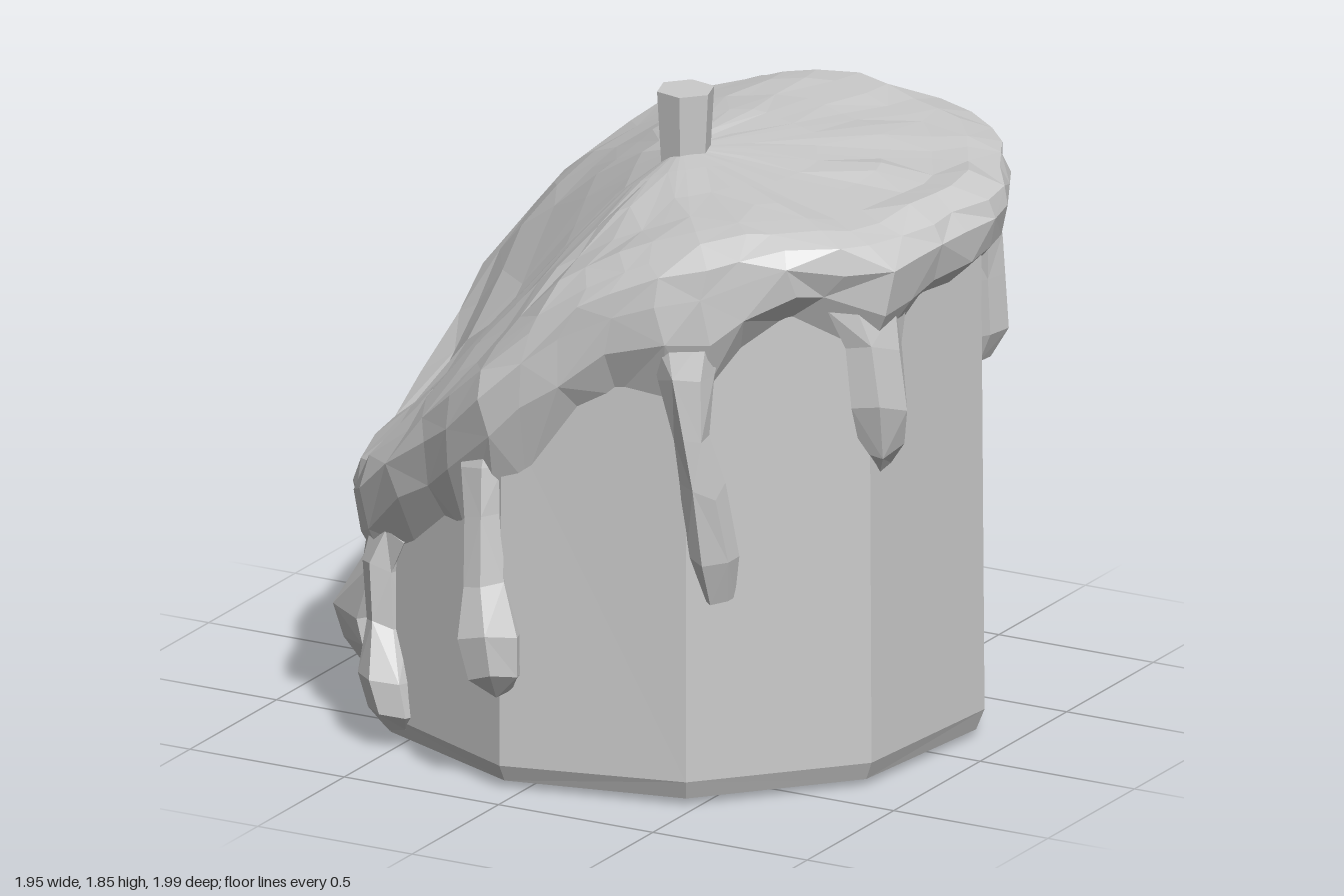
import * as THREE from 'three';

const rad = THREE.MathUtils.degToRad;
const mat = new THREE.MeshStandardMaterial({ color: 0xcccccc, flatShading: true, side: THREE.DoubleSide });

// Angles run from +x (0) through +z (90).
const CX = 0.03, CZ = -0.008;
const polar = (deg, r, y) => new THREE.Vector3(CX + r * Math.cos(rad(deg)), y, CZ + r * Math.sin(rad(deg)));

// Repeatable noise in -1..1
function noise(a, b) {
  const s = Math.sin(a * 12.99 + b * 78.23) * 43758.55;
  return (s - Math.floor(s)) * 2 - 1;
}

// Smooth bump around an angle
function bump(deg, centre, width) {
  const d = ((((deg - centre + 180) % 360) + 360) % 360) - 180;
  return Math.exp(-((d / width) ** 2));
}

// Radius of the ten-sided wall at an angle
const CORNER = 96;
function wall(deg) {
  const local = ((((deg - CORNER) % 36) + 36) % 36) - 18;
  return 0.85 / Math.cos(rad(local));
}

// Height of the melted rim around the candle
const RIM = [
  [0, 1.65], [45, 1.67], [62, 1.64], [78, 1.53], [90, 1.41], [103, 1.22], [115, 1.08], [130, 0.9],
  [150, 0.75], [165, 0.7], [180, 0.76], [193, 0.93], [206, 1.17], [220, 1.35], [235, 1.49],
  [250, 1.6], [270, 1.65], [315, 1.66], [360, 1.65],
];
function rim(deg) {
  const d = ((deg % 360) + 360) % 360;
  const i = RIM.findIndex((p) => p[0] > d);
  const [a, ya] = RIM[i - 1], [b, yb] = RIM[i];
  return ya + ((yb - ya) * (d - a)) / (b - a);
}

// Skin a list of closed rings, ordered from the top middle outwards and down
function loft(name, rings) {
  const n = rings[0].length, pos = [], index = [];
  rings.forEach((ring) => ring.forEach((p) => pos.push(p.x, p.y, p.z)));
  for (let i = 0; i < rings.length - 1; i++) {
    for (let j = 0; j < n; j++) {
      const a = i * n + j, b = i * n + ((j + 1) % n), c = a + n, d = b + n;
      if ((i + j) % 2) index.push(a, b, c, b, d, c);
      else index.push(a, b, d, a, d, c);
    }
  }
  const g = new THREE.BufferGeometry();
  g.setAttribute('position', new THREE.Float32BufferAttribute(pos, 3));
  g.setIndex(index);
  const flat = g.toNonIndexed();
  flat.computeVertexNormals();
  const mesh = new THREE.Mesh(flat, mat);
  mesh.name = name;
  return mesh;
}

const ringOf = (n, fn) => Array.from({ length: n }, (_, j) => fn(j));

// Ten-sided body with a small bevel at the foot
function makeBody() {
  const ang = (j) => CORNER + j * 36;
  return loft('body', [
    ringOf(10, (j) => polar(ang(j), 0.885, rim(ang(j)) - 0.18)),
    ringOf(10, (j) => polar(ang(j), 0.895, 0.08 + 0.02 * noise(j, 1))),
    ringOf(10, (j) => polar(ang(j), 0.87, 0.02)),
    ringOf(10, () => polar(0, 0, 0.015)),
  ]);
}

// Drip sections: [angle, height, half width, how far it stands off the wall].
// The first one is buried in the wax skirt.
const DRIPS = {
  frontDrip: [
    [102, 1.06, 0.1, 0.02], [101, 0.96, 0.075, 0.05], [100, 0.82, 0.06, 0.06], [99, 0.62, 0.06, 0.08],
    [97, 0.48, 0.095, 0.12], [96, 0.36, 0.075, 0.1], [97, 0.3, 0.045, 0.03],
  ],
  frontLeftDrip: [
    [60, 1.44, 0.12, 0.02], [60, 1.28, 0.08, 0.05], [59, 1.1, 0.05, 0.06], [57, 0.95, 0.065, 0.07],
    [55, 0.75, 0.075, 0.06], [54, 0.62, 0.05, 0.02],
  ],
  frontRightDrip: [
    [133, 0.62, 0.12, 0.01], [132, 0.52, 0.06, 0.05], [131, 0.35, 0.045, 0.05], [129, 0.2, 0.085, 0.09],
    [128, 0.1, 0.08, 0.07], [129, 0.04, 0.045, 0.02],
  ],
  rightBlob: [
    [165, 0.5, 0.2, 0.01], [166, 0.38, 0.14, 0.03], [168, 0.22, 0.13, 0.12],
    [168, 0.12, 0.12, 0.09], [167, 0.0, 0.05, 0.01],
  ],
  backRightDrip: [
    [205, 0.9, 0.13, 0.01], [204, 0.82, 0.09, 0.04], [202, 0.68, 0.055, 0.05], [202, 0.55, 0.07, 0.07],
    [199, 0.42, 0.08, 0.07], [199, 0.3, 0.045, 0.02],
  ],
  backDrip: [
    [276, 1.44, 0.11, 0.02], [278, 1.3, 0.075, 0.05], [279, 1.0, 0.055, 0.06], [279, 0.73, 0.065, 0.11],
    [279, 0.62, 0.055, 0.07], [279, 0.53, 0.04, 0.01],
  ],
  backLeftDrip: [
    [314, 1.44, 0.1, 0.02], [314, 1.33, 0.075, 0.05], [314, 1.2, 0.06, 0.06], [313, 1.03, 0.065, 0.07],
    [312, 0.94, 0.04, 0.02],
  ],
  leftDrip: [
    [24, 1.44, 0.14, 0.02], [23, 1.32, 0.1, 0.05], [22, 1.14, 0.1, 0.07], [20, 1.0, 0.08, 0.04],
    [19, 0.93, 0.045, -0.01],
  ],
};

// Melted top: slumps towards the low side, then folds over the rim
function makeWax() {
  const n = 44, rings = [];
  const ang = (j, i) => (j * 360) / n + noise(j, i) * 2;
  [0, 0.22, 0.45, 0.66, 0.83, 0.95].forEach((f, i) => {
    rings.push(ringOf(n, (j) => {
      const a = ang(j, i), drop = 1.67 - rim(a);
      const ripple = f * noise(Math.floor(j / 2) + 5, i) * (0.014 + 0.02 * drop);
      const curve = 1.4 - 0.3 * bump(a, 165, 40);
      return polar(a, f * wall(a), 1.67 - drop * Math.pow(f, curve) + ripple);
    }));
  });
  // Skirt: longer on the low side and above every drip
  const skirt = (a) => Object.values(DRIPS).reduce(
    (sum, [[deg]]) => sum + 0.13 * bump(a, deg, 11), 0.29 + 0.08 * bump(a, 115, 45));
  // Lip rows: radius offset and share of the skirt length
  [[0.045, 0.08], [0.065, 0.28], [0.045, 0.6], [-0.02, 1]].forEach(([out, share], i) => {
    rings.push(ringOf(n, (j) => {
      const a = ang(j, i + 6);
      const sag = share * skirt(a) * (1 + 0.15 * noise(Math.floor(j / 3), 3) + 0.1 * noise(j, i));
      const puff = i < 3 ? noise(j, i + 20) * 0.018 + 0.01 * bump(a, 0, 40) : 0;
      return polar(a, wall(a) + out + puff, rim(a) - sag);
    }));
  });
  return loft('meltedWax', rings);
}

function makeDrip(name, sections) {
  const rows = sections.map(([deg, y, w, out], i) => {
    const a = rad(deg), inner = wall(deg) - 0.06;
    const half = (out + 0.06) / 2, c = polar(deg, inner + half, y);
    return ringOf(6, (j) => {
      const t = rad(j * 60 + 30);
      const r = (half * Math.cos(t)) / 0.866, s = w * Math.sin(t);
      return new THREE.Vector3(
        c.x + r * Math.cos(a) - s * Math.sin(a),
        Math.max(0, y + noise(j, i + deg) * 0.02),
        c.z + r * Math.sin(a) + s * Math.cos(a));
    });
  });
  // Close both ends
  const cap = (row) => {
    const m = row.reduce((v, p) => v.add(p), new THREE.Vector3()).divideScalar(row.length);
    return row.map(() => m);
  };
  return loft(name, [cap(rows[0]), ...rows, cap(rows[rows.length - 1])]);
}

export function createModel() {
  const model = new THREE.Group();
  model.name = 'meltedCandle';
  model.add(makeBody(), makeWax());
  for (const [name, sections] of Object.entries(DRIPS)) model.add(makeDrip(name, sections));

  // Wick
  const wick = new THREE.Mesh(new THREE.CylinderGeometry(0.085, 0.07, 0.26, 6), mat);
  wick.name = 'wick';
  wick.position.set(0.04, 1.715, -0.01);
  wick.rotation.y = 0.3;
  model.add(wick);
  return model;
}
